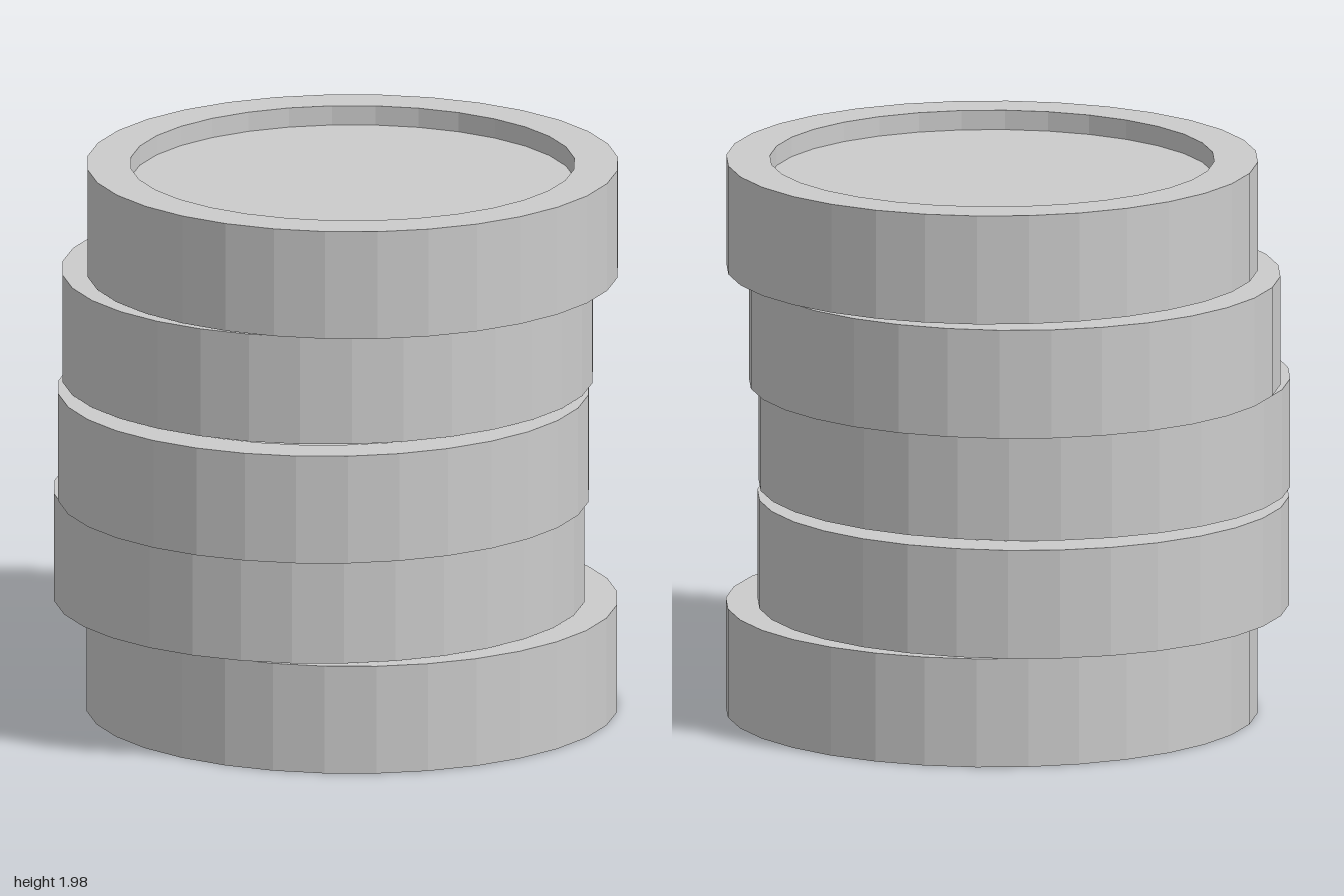
import * as THREE from 'three';

const RX = 0.938, RZ = 0.928;   // slightly oval outline
const HEIGHT = 0.391, PITCH = 0.398;
const RIM = 0.836;              // recess radius relative to the outer radius
const DEPTH = 0.07;             // recess depth, top and bottom

// x and z offset of each disc, from the bottom up
const OFFSETS = [
  [0.055, -0.051],
  [-0.06, -0.051],
  [-0.033, 0.069],
  [-0.033, -0.067],
  [0.06, -0.025],
];

export function createModel() {
  const stack = new THREE.Group();
  stack.name = 'discStack';
  const material = new THREE.MeshStandardMaterial({ color: 0xcccccc, flatShading: true });

  // Disc with a raised rim around a recess on both faces
  const profile = [
    [0, DEPTH], [RIM, DEPTH], [RIM, 0], [1, 0],
    [1, HEIGHT], [RIM, HEIGHT], [RIM, HEIGHT - DEPTH], [0, HEIGHT - DEPTH],
  ].map(([r, y]) => new THREE.Vector2(r, y));
  const geometry = new THREE.LatheGeometry(profile, 32).toNonIndexed();
  geometry.scale(RX, 1, RZ);
  geometry.computeVertexNormals();

  // Loosely stacked discs
  OFFSETS.forEach(([x, z], i) => {
    const disc = new THREE.Mesh(geometry, material);
    disc.name = `disc${i + 1}`;
    disc.position.set(x, i * PITCH, z);
    stack.add(disc);
  });
  return stack;
}
